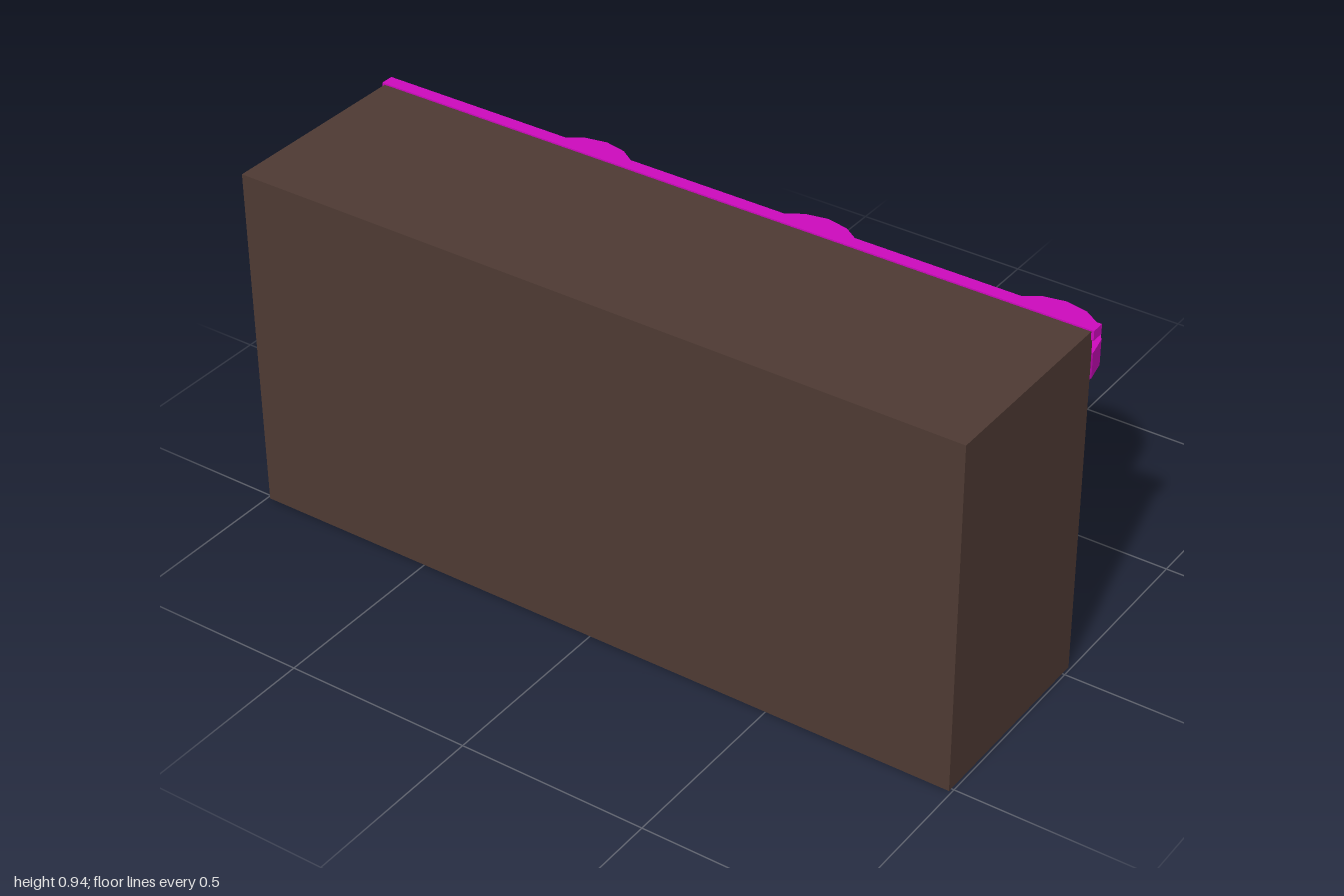
import * as THREE from 'three';

const material = (name, color) => {
  const m = new THREE.MeshStandardMaterial({ color });
  m.name = name;
  return m;
};

export function createModel() {
  const wood = material('dark brown wood', 0x4e3a33);
  const magenta = material('magenta', 0xcc0abc);
  const steel = material('slate metal', 0x3b4149);
  magenta.flatShading = steel.flatShading = true;

  const model = new THREE.Group();
  model.name = 'barCounterWithStools';

  const add = (parent, name, geometry, mat, x, y, z) => {
    const mesh = new THREE.Mesh(geometry, mat);
    mesh.name = name;
    mesh.position.set(x, y, z);
    parent.add(mesh);
  };

  // Counter block and the glowing trim along its rear top edge
  add(model, 'counter', new THREE.BoxGeometry(1.986, 0.938, 0.54), wood, 0, 0.469, 0.24);
  add(model, 'edgeTrim', new THREE.BoxGeometry(2, 0.026, 0.035), magenta, 0, 0.929, -0.04);

  // Three stools, each a round seat on a post
  const seat = new THREE.CylinderGeometry(0.161, 0.161, 0.071, 16);
  const post = new THREE.CylinderGeometry(0.036, 0.036, 0.56, 12);
  for (const x of [-0.675, 0, 0.675]) {
    const stool = new THREE.Group();
    stool.name = 'stool';
    stool.position.set(x, 0, -0.348);
    add(stool, 'seat', seat, magenta, 0, 0.614, 0);
    add(stool, 'post', post, steel, 0, 0.3, 0);
    model.add(stool);
  }
  return model;
}
